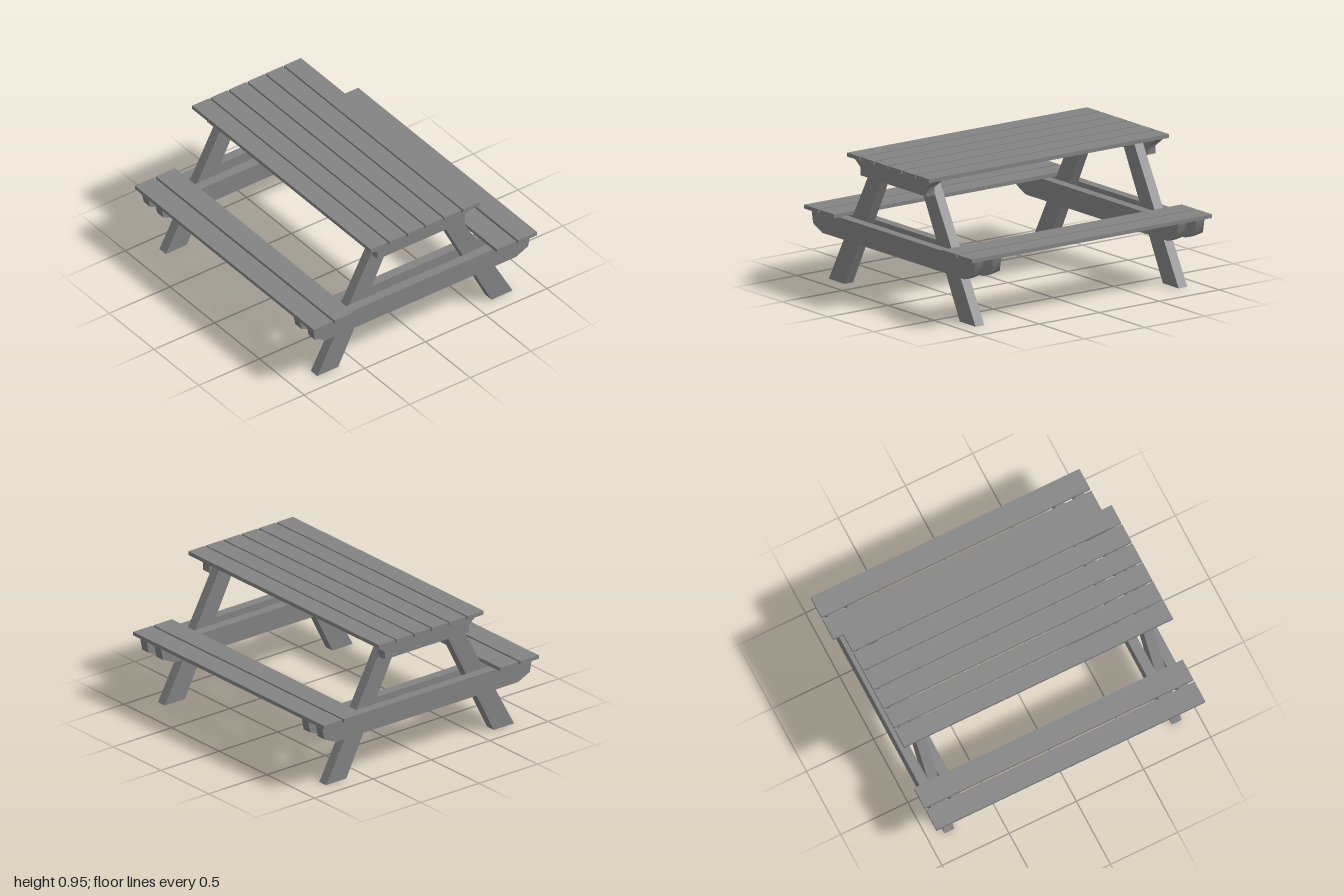
import * as THREE from 'three';
import { toCreasedNormals } from 'three/addons/utils/BufferGeometryUtils.js';

const material = new THREE.MeshStandardMaterial({ color: 0x838383 });

// Board cut from an x/y outline, spanning z0 to z1, with softly shaded end cuts
function board(name, points, z0, z1) {
  const shape = new THREE.Shape(points.map(([x, y]) => new THREE.Vector2(x, y)));
  const geometry = new THREE.ExtrudeGeometry(shape, { depth: z1 - z0, bevelEnabled: false });
  geometry.translate(0, 0, z0);
  const mesh = new THREE.Mesh(toCreasedNormals(geometry, 1), material);
  mesh.name = name;
  return mesh;
}

// Full-length plank lying along z
function plank(name, x, width, bottom, top) {
  const mesh = new THREE.Mesh(new THREE.BoxGeometry(width, top - bottom, 2), material);
  mesh.position.set(x, (bottom + top) / 2, 0);
  mesh.name = name;
  return mesh;
}

// Closed outline symmetric about x = 0, from its right half listed top to bottom
const mirrored = (half) => [...half, ...half.map(([x, y]) => [-x, y]).reverse()];

export function createModel() {
  const table = new THREE.Group();
  table.name = 'picnicTable';

  // Table top
  for (let i = 0; i < 6; i++) {
    table.add(plank('tabletopPlank', (i - 2.5) * 0.1515, 0.139, 0.928, 0.955));
  }

  // Two planks for each bench seat
  for (const side of [-1, 1]) {
    for (const x of [0.669, 0.842]) {
      table.add(plank('seatPlank', side * x, 0.157, 0.476, 0.502));
    }
  }

  const cleat = mirrored([[0.445, 0.928], [0.36, 0.865], [0.36, 0.811]]);
  const beam = mirrored([[0.9, 0.476], [0.88, 0.377], [0.78, 0.331]]);
  const leg = [[0.632, 0], [0.805, 0], [0.298, 0.928], [0.162, 0.928]];

  // Trestle at each end: splayed legs between two seat beams, cleat outside
  for (const end of [-1, 1]) {
    const trestle = new THREE.Group();
    trestle.name = end > 0 ? 'frontTrestle' : 'backTrestle';
    const add = (name, points, inner, outer) =>
      trestle.add(board(name, points, Math.min(end * inner, end * outer), Math.max(end * inner, end * outer)));

    add('rightLeg', leg.map(([x, y]) => [-x, y]), 0.81, 0.882);
    add('leftLeg', leg, 0.81, 0.882);
    add('topCleat', cleat, 0.887, 0.955);
    add('outerSeatBeam', beam, 0.887, 0.955);
    add('innerSeatBeam', beam, 0.738, 0.807);
    table.add(trestle);
  }

  return table;
}
